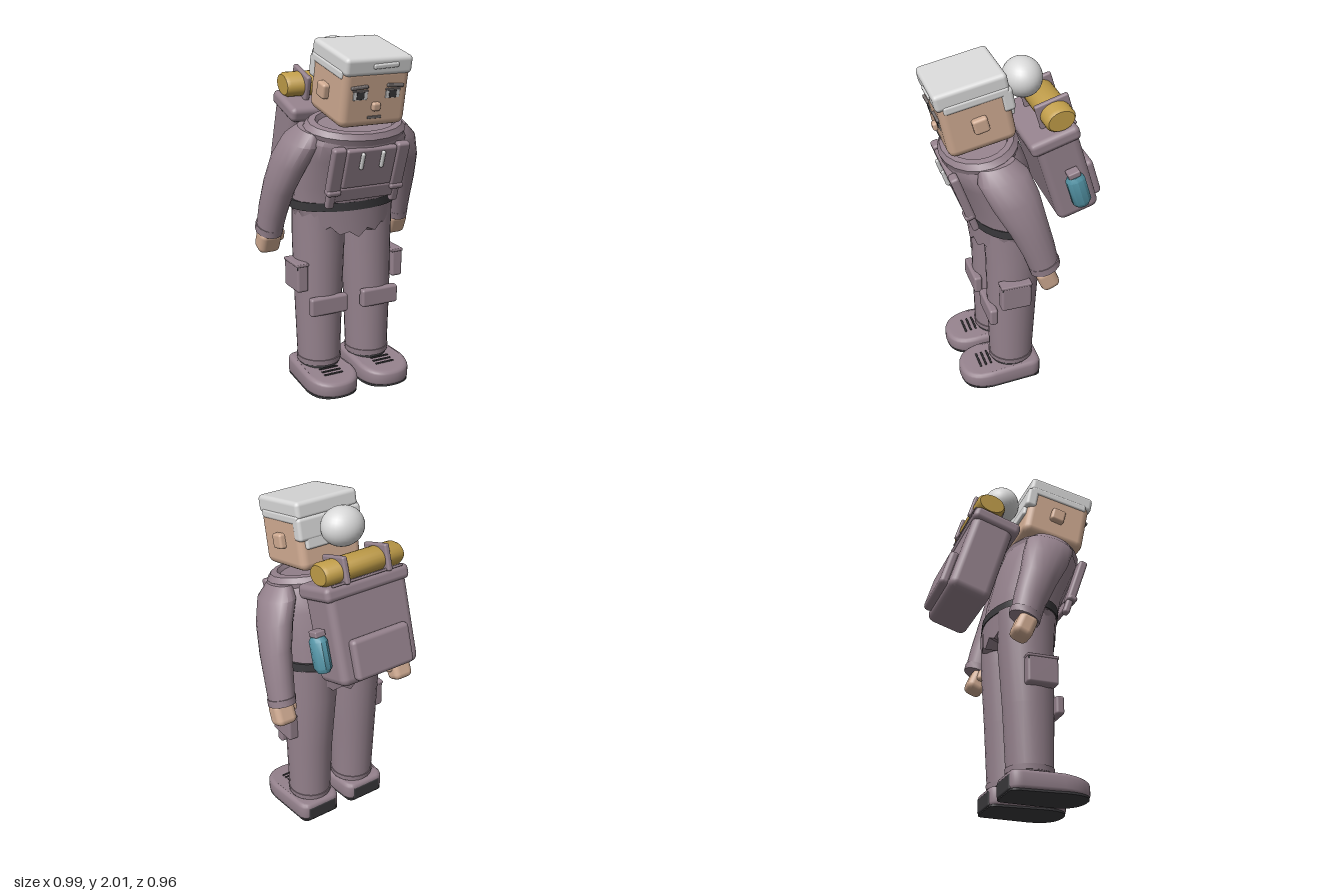
import * as THREE from 'three';
import { toCreasedNormals } from 'three/addons/utils/BufferGeometryUtils.js';
import { RoundedBoxGeometry } from 'three/addons/geometries/RoundedBoxGeometry.js';

const material = (name, color) => Object.assign(new THREE.MeshStandardMaterial({ color }), { name });

export function createModel() {
  const cloth = material('mauve cloth', 0x95828d);
  const dark = material('dark rubber', 0x3b3a3d);
  const skin = material('skin', 0xd0ab92);
  const hair = material('pale hair', 0xd8d8d8);
  const gold = material('ochre roll', 0xbf9c48);
  const teal = material('teal bottle', 0x5596a8);
  const grey = material('brow grey', 0x77706f);

  const model = new THREE.Group();
  model.name = 'hiker';

  function add(parent, name, geometry, mat, x = 0, y = 0, z = 0, rx = 0, ry = 0, rz = 0) {
    const mesh = new THREE.Mesh(geometry, mat);
    mesh.name = name;
    mesh.position.set(x, y, z);
    mesh.rotation.set(rx, ry, rz);
    parent.add(mesh);
    return mesh;
  }
  const block = (w, h, d, r = 0.015) => new RoundedBoxGeometry(w, h, d, 2, Math.min(r, w / 2.1, h / 2.1, d / 2.1));
  const group = (name, parent, x, y, z, rx) => {
    const g = new THREE.Group();
    g.name = name;
    g.position.set(x, y, z);
    g.rotation.x = rx;
    parent.add(g);
    return g;
  };

  // Capped skin over elliptical rings [x, y, z, radiusX, radiusZ, tilt], listed upward
  function loft(rings, sides = 20, ragged = () => 0) {
    const pos = [], index = [];
    rings.forEach(([x, y, z, rx, rz, tilt = 0], i) => {
      for (let j = 0; j < sides; j++) {
        const a = (j / sides) * Math.PI * 2, dz = Math.sin(a) * rz;
        pos.push(x + Math.cos(a) * rx, y - tilt * dz + (i === 0 ? ragged(a, j) : 0), z + dz);
      }
    });
    const last = rings.length - 1, base = rings.length * sides;
    pos.push(...rings[0].slice(0, 3), ...rings[last].slice(0, 3));
    for (let j = 0; j < sides; j++) {
      const k = (j + 1) % sides;
      for (let i = 0; i < last; i++) {
        const a = i * sides + j, b = a + sides, c = (i + 1) * sides + k, d = i * sides + k;
        index.push(a, b, c, a, c, d);
      }
      index.push(base, j, k, base + 1, last * sides + k, last * sides + j);
    }
    const g = new THREE.BufferGeometry();
    g.setAttribute('position', new THREE.Float32BufferAttribute(pos, 3));
    g.setIndex(index);
    return toCreasedNormals(g, 0.7);
  }

  // Jacket, belt and ragged hem
  add(model, 'jacket', loft([
    [0, 1.06, 0.055, 0.315, 0.2], [0, 1.2, 0.08, 0.315, 0.205, 0.05],
    [0, 1.38, 0.14, 0.32, 0.215, 0.15], [0, 1.48, 0.18, 0.315, 0.215, 0.2],
    [0, 1.54, 0.195, 0.27, 0.2, 0.2]]), cloth);
  add(model, 'belt', loft([[0, 1.065, 0.055, 0.325, 0.208], [0, 1.115, 0.06, 0.325, 0.208]], 28), dark);
  add(model, 'raggedHem', loft([[0, 0.9, 0.05, 0.295, 0.2], [0, 1.07, 0.055, 0.315, 0.203]], 32,
    (a, j) => Math.cos(a) ** 2 * 0.09 + [0, 0.035, 0.01, 0.045][j % 4]), cloth);

  // Wide slanting collar
  const ring = [[0.235, -0.03], [0.29, -0.04], [0.3, -0.005], [0.275, 0.025], [0.235, 0.03], [0.215, 0.0], [0.235, -0.03]]
    .map(([x, y]) => new THREE.Vector2(x, y));
  add(model, 'collar', toCreasedNormals(new THREE.LatheGeometry(ring, 20), 0.6), cloth, 0, 1.535, 0.195, 0.2)
    .scale.z = 0.74;

  // Chest panel, strap pads and drawstrings along the sloping front
  const chest = group('chestGear', model, 0, 1.3, 0.335, 0.33);
  add(chest, 'chestPanel', block(0.31, 0.24, 0.04), cloth, 0, 0.035, 0.005);
  add(chest, 'lowerPanel', block(0.4, 0.09, 0.03), cloth, 0, -0.13, 0.0);
  for (const s of [-1, 1]) {
    add(chest, 'strapPad', block(0.08, 0.29, 0.05), cloth, s * 0.195, 0.02, 0.0);
    add(chest, 'strapTail', block(0.05, 0.1, 0.04), cloth, s * 0.2, -0.16, 0.0);
    add(chest, 'buckle', block(0.085, 0.035, 0.055), cloth, s * 0.195, -0.105, 0.008);
    add(chest, 'drawstring', new THREE.CapsuleGeometry(0.012, 0.08, 4, 8), hair, s * 0.062, 0.09, 0.034);
  }

  // Shoe outline drawn on the ground, toe towards the front
  function shoeSlab(width, heel, toe, height, bevel) {
    const w = width / 2 - bevel, back = heel + bevel, front = toe - bevel, s = new THREE.Shape();
    s.moveTo(-w * 0.6, -back);
    s.quadraticCurveTo(-w * 0.88, -back, -w * 0.88, -back - 0.05);
    s.lineTo(-w, -front + 0.16);
    s.bezierCurveTo(-w, -front + 0.04, -w * 0.6, -front, 0, -front);
    s.bezierCurveTo(w * 0.6, -front, w, -front + 0.04, w, -front + 0.16);
    s.lineTo(w * 0.88, -back - 0.05);
    s.quadraticCurveTo(w * 0.88, -back, w * 0.6, -back);
    const g = new THREE.ExtrudeGeometry(s, {
      depth: height - 2 * bevel, bevelEnabled: bevel > 0, bevelSize: bevel,
      bevelThickness: bevel, bevelSegments: 3, curveSegments: 10 });
    return g.rotateX(-Math.PI / 2).translate(0, bevel, 0);
  }

  for (const s of [-1, 1]) {
    // Trousers
    const side = s > 0 ? 'left' : 'right';
    add(model, side + 'Leg', loft([
      [s * 0.16, 0.12, 0.055, 0.125, 0.13], [s * 0.16, 0.5, 0.05, 0.137, 0.145],
      [s * 0.153, 0.85, 0.04, 0.15, 0.16], [s * 0.153, 1.07, 0.045, 0.15, 0.17]], 24), cloth);
    add(model, side + 'TrouserCuff', loft([
      [s * 0.16, 0.125, 0.055, 0.128, 0.134], [s * 0.16, 0.155, 0.055, 0.131, 0.137]], 24), cloth);
    add(model, side + 'KneePad', block(0.235, 0.108, 0.05), cloth, s * 0.165, 0.503, 0.192);
    add(model, side + 'ThighPocket', block(0.07, 0.16, 0.18), cloth, s * 0.308, 0.67, 0.073);
    add(model, side + 'PocketTrim', block(0.066, 0.018, 0.174, 0.005), dark, s * 0.309, 0.733, 0.073);
    add(model, side + 'PocketFlap', block(0.074, 0.018, 0.184, 0.006), cloth, s * 0.308, 0.75, 0.073);

    // Shoes
    const shoe = group(side + 'Shoe', model, s * 0.17, 0, 0, 0);
    const upper = shoeSlab(0.31, -0.1, 0.38, 0.113, 0.025), p = upper.attributes.position;
    for (let i = 0; i < p.count; i++) {
      const slope = Math.max(0, p.getZ(i) - 0.15) / 0.23;
      p.setY(i, p.getY(i) * (1 - 0.25 * slope));
    }
    upper.computeVertexNormals();
    add(shoe, 'upper', toCreasedNormals(upper, 0.7), cloth, 0, 0.004, 0);
    add(shoe, 'sole', shoeSlab(0.295, -0.097, 0.374, 0.012, 0), dark);
    add(shoe, 'heelCounter', block(0.2, 0.09, 0.03, 0.012), dark, 0, 0.05, -0.088);
    add(shoe, 'ankleOpening', new THREE.CylinderGeometry(0.118, 0.122, 0.03, 20), dark, -s * 0.01, 0.118, 0.055);
    for (let i = 0; i < 3; i++)
      add(shoe, 'lace', block(0.12, 0.008, 0.012, 0.004), dark, 0, 0.114 - i * 0.005, 0.2 + i * 0.032, 0.1);

    // Sleeves swinging backward, with cuffs and hands
    add(model, side + 'Sleeve', loft([
      [s * 0.415, 0.92, -0.062, 0.073, 0.08, 0.35], [s * 0.405, 1.05, -0.025, 0.08, 0.088, 0.4],
      [s * 0.388, 1.2, 0.03, 0.085, 0.103, 0.4], [s * 0.352, 1.35, 0.09, 0.092, 0.13, 0.3],
      [s * 0.3, 1.47, 0.14, 0.092, 0.14, 0.2], [s * 0.265, 1.535, 0.165, 0.055, 0.1, 0.2]], 18), cloth);
    add(model, side + 'Cuff', loft([
      [s * 0.415, 0.915, -0.065, 0.078, 0.084, 0.35], [s * 0.413, 0.955, -0.055, 0.08, 0.086, 0.35]], 14), cloth);
    add(model, side + 'Hand', block(0.13, 0.14, 0.11, 0.035), skin, s * 0.418, 0.86, -0.07, 0.4);
    add(model, side + 'Thumb', block(0.045, 0.075, 0.05, 0.02), skin, s * 0.348, 0.885, -0.06, 0.3);
  }

  // Head bowed forward; its origin is the centre of the chin plane
  const head = group('head', model, 0, 1.59, 0.205, 0.2);
  add(head, 'face', block(0.4, 0.33, 0.385, 0.045), skin, 0, 0.165, 0);
  add(head, 'hairTop', block(0.4, 0.1, 0.405, 0.025), hair, 0, 0.34, 0.0);
  add(head, 'hairBand', block(0.412, 0.05, 0.36, 0.015), hair, 0, 0.292, -0.015);
  add(head, 'hairBack', block(0.412, 0.13, 0.07, 0.02), hair, 0, 0.24, -0.178);
  add(head, 'hairNape', block(0.33, 0.08, 0.04, 0.015), hair, 0, 0.165, -0.19);
  add(head, 'forelock', block(0.15, 0.028, 0.025, 0.01), hair, 0.035, 0.345, 0.2, 0, 0, 0.04);
  add(head, 'nose', block(0.05, 0.048, 0.035, 0.014), skin, 0, 0.122, 0.2);
  add(head, 'mouth', block(0.085, 0.016, 0.009, 0.004), grey, 0, 0.06, 0.192);
  for (const s of [-1, 1]) {
    add(head, 'ear', block(0.05, 0.085, 0.085, 0.015), skin, s * 0.21, 0.16, -0.005, 0.05);
    add(head, 'eyeWhite', block(0.085, 0.05, 0.008, 0.003), hair, s * 0.097, 0.187, 0.193);
    add(head, 'pupil', block(0.045, 0.042, 0.008, 0.003), dark, s * 0.097, 0.186, 0.195);
    add(head, 'eyelid', block(0.09, 0.012, 0.012, 0.004), grey, s * 0.097, 0.211, 0.194);
    add(head, 'brow', block(0.1, 0.018, 0.02, 0.006), grey, s * 0.107, 0.232, 0.197, 0, 0, -s * 0.06);
  }
  add(model, 'hairBun', new THREE.SphereGeometry(0.11, 28, 18), hair, 0, 1.887, -0.062).scale.x = 1.14;

  // Backpack leaning away from the back
  const pack = group('backpack', model, 0, 1.37, -0.24, 0.3);
  add(pack, 'packBody', block(0.52, 0.52, 0.25, 0.045), cloth, 0, -0.01, -0.01);
  add(pack, 'packLid', block(0.55, 0.085, 0.29, 0.03), cloth, 0, 0.245, 0);
  add(pack, 'lidPiping', block(0.46, 0.014, 0.015, 0.005), cloth, 0, 0.288, -0.14);
  add(pack, 'backPocket', block(0.38, 0.23, 0.06, 0.025), cloth, 0, -0.13, -0.152);

  // Bedroll held by two straps
  const roll = loft([[0, -0.255, 0, 0.055, 0.075], [0, -0.235, 0, 0.067, 0.087], [0, 0.235, 0, 0.067, 0.087],
    [0, 0.255, 0, 0.055, 0.075]], 24);
  add(pack, 'bedroll', roll, gold, 0, 0.347, -0.065, 0, 0, Math.PI / 2);
  for (const s of [-1, 1])
    add(pack, 'rollStrap', block(0.032, 0.15, 0.2, 0.012), cloth, s * 0.137, 0.352, -0.065);

  // Water bottle on the left side of the pack
  const bottle = loft([[0, -0.1, 0, 0.035, 0.04], [0, -0.075, 0, 0.048, 0.056], [0, 0.075, 0, 0.048, 0.056],
    [0, 0.1, 0, 0.035, 0.04]], 10);
  add(pack, 'bottle', bottle, teal, 0.305, -0.07, -0.03);
  add(pack, 'bottleCap', block(0.065, 0.035, 0.07, 0.008), cloth, 0.303, 0.045, -0.03);

  return model;
}
